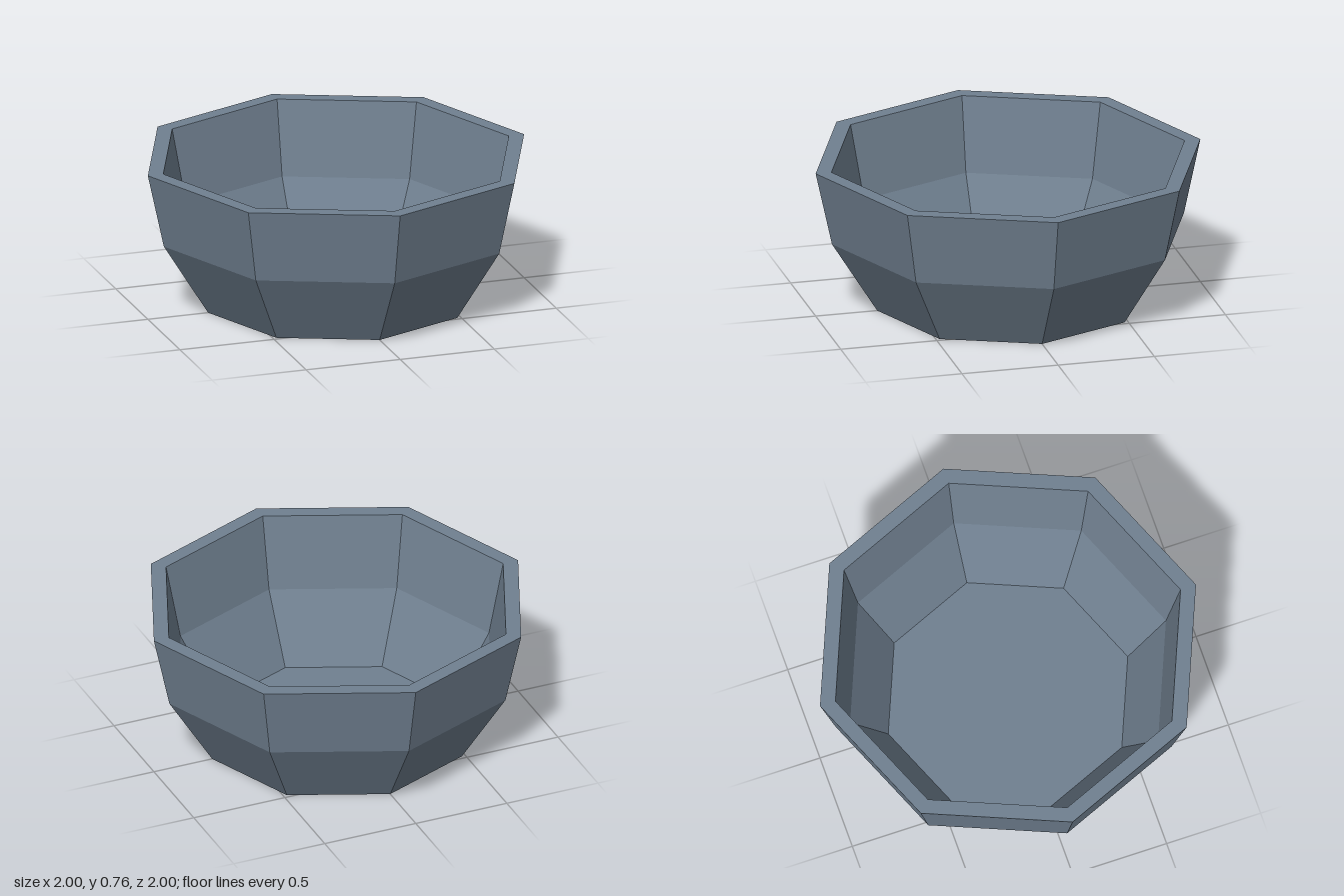
import * as THREE from 'three';

export function createModel() {
  const group = new THREE.Group();
  group.name = 'bowl';

  const slate = new THREE.MeshStandardMaterial({ color: 0x708090, flatShading: true });
  slate.name = 'slate grey';

  // Eight-sided shell made of [radius, height] profiles
  const addPart = (name, profile) => {
    const points = profile.map(([r, y]) => new THREE.Vector2(r, y));
    const mesh = new THREE.Mesh(new THREE.LatheGeometry(points, 8), slate);
    mesh.name = name;
    group.add(mesh);
  };

  // Underside and outer wall, bottom to top
  addPart('outerWall', [[0, 0], [0.68, 0], [0.915, 0.377], [1, 0.763]]);
  // Flat rim
  addPart('rim', [[1, 0.763], [0.918, 0.763]]);
  // Inner wall and floor, top to bottom
  addPart('innerWall', [[0.918, 0.763], [0.84, 0.377], [0.637, 0.03], [0, 0.03]]);

  return group;
}
